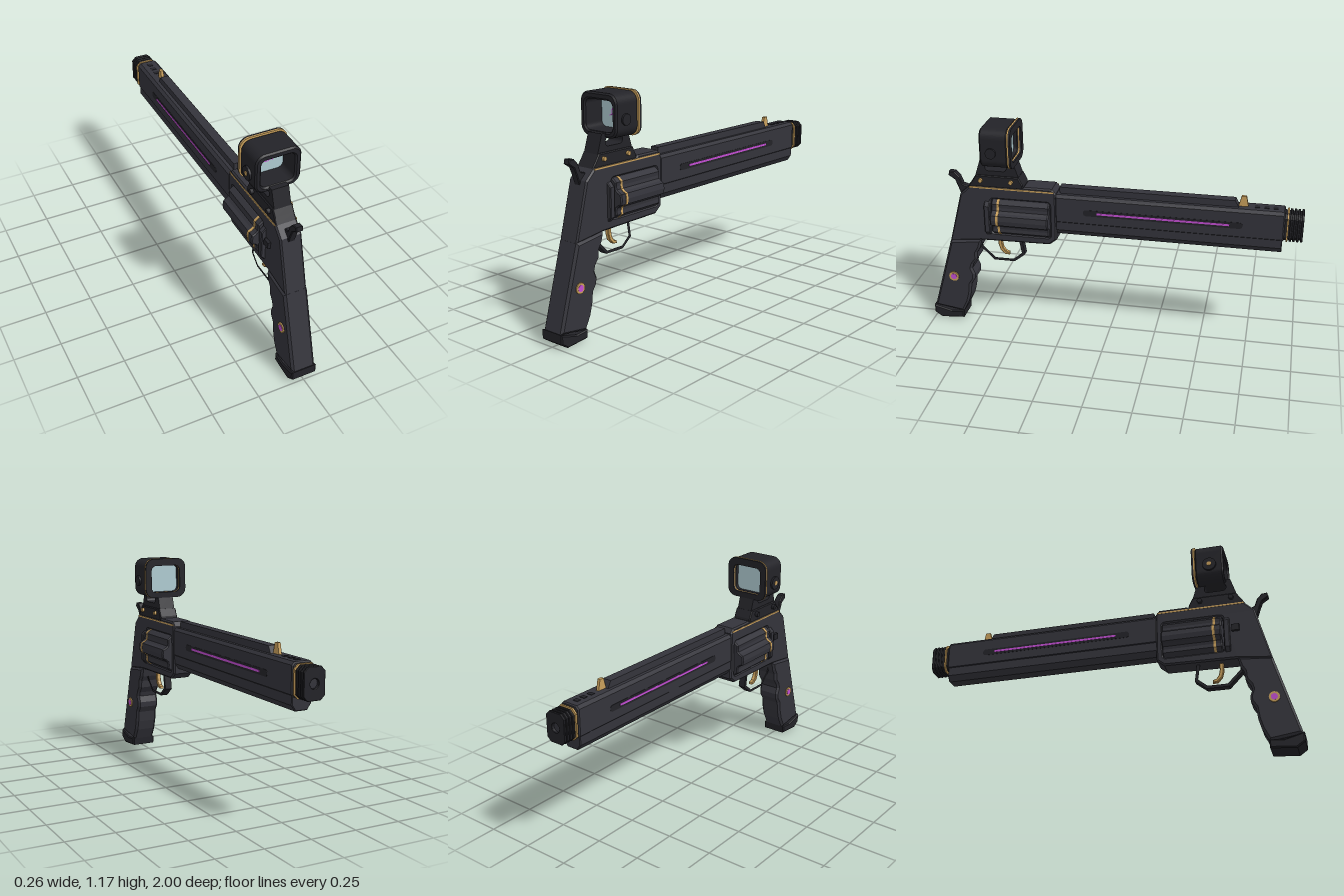
import * as THREE from 'three';

const mat = (name, color) => {
  const m = new THREE.MeshStandardMaterial({ color });
  m.name = name;
  return m;
};

export function createModel() {
  const body = mat('gunmetal', 0x34343b);
  const dark = mat('black metal', 0x232328);
  const gold = mat('gold', 0xc9a05c);
  const purple = mat('purple glow', 0xc44fd4);
  const glass = mat('glass', 0xafcbd1);

  const model = new THREE.Group();
  model.name = 'revolver';
  const add = (name, geo, material, x = 0, y = 0, z = 0) => {
    const m = new THREE.Mesh(geo, material);
    m.name = name;
    m.position.set(x, y, z);
    model.add(m);
    return m;
  };
  const poly = (pts) => new THREE.Shape(pts.map(([a, b]) => new THREE.Vector2(a, b)));

  // Rectangle with cut corners
  const chamRect = (w, h, c, cy = 0, cx = 0) => {
    const a = w / 2, b = h / 2;
    return poly([[a, -b + c], [a, b - c], [a - c, b], [-a + c, b], [-a, b - c], [-a, -b + c], [-a + c, -b], [a - c, -b]]
      .map(([x, y]) => [x + cx, y + cy]));
  };
  // Rectangle with round corners
  const roundRect = (w, h, r, cy = 0, cx = 0) => {
    const s = new THREE.Shape(), a = w / 2 - r, b = h / 2 - r;
    [[a, b], [-a, b], [-a, -b], [a, -b]].forEach(([x, y], i) =>
      s.absarc(cx + x, cy + y, r, i * Math.PI / 2, (i + 1) * Math.PI / 2, false));
    return s;
  };
  const extrude = (shape, depth, bevel) => {
    const g = new THREE.ExtrudeGeometry(shape, {
      depth: depth - 2 * bevel, bevelEnabled: bevel > 0, bevelThickness: bevel, bevelSize: bevel,
      bevelOffset: -bevel, bevelSegments: 1, curveSegments: 6,
    });
    return g.translate(0, 0, bevel);
  };
  // Shape drawn in (x, y), running from z0 to z1
  const alongZ = (shape, z0, z1, bevel = 0) => extrude(shape, z1 - z0, bevel).translate(0, 0, z0);
  // Shape drawn in (z, y), centred across x
  const acrossX = (shape, width, bevel = 0) =>
    extrude(shape, width, bevel).translate(0, 0, -width / 2).rotateY(-Math.PI / 2);
  const box = (w, h, d) => new THREE.BoxGeometry(w, h, d);
  const pin = (r, len, seg = 16) => new THREE.CylinderGeometry(r, r, len, seg).rotateZ(Math.PI / 2);

  // Frame with an open window for the drum
  const frame = poly([[0.28, 0.815], [0.28, 0.55], [0.32, 0.517], [0.7, 0.51], [0.877, 0.49], [0.803, 0.775],
    [0.745, 0.83], [0.46, 0.83], [0.45, 0.84], [0.3, 0.84]]);
  frame.holes.push(roundRect(0.32, 0.2, 0.015, 0.66, 0.475));
  add('frame', acrossX(frame, 0.116, 0.008), body);

  // Fluted six-lobed drum and its gold band
  const drum = (r) => {
    const pts = [];
    for (let i = 0; i < 6; i++)
      for (const [deg, k] of [[-14, 1], [0, 1.01], [14, 1], [21, 0.87], [30, 0.81], [39, 0.87]]) {
        const a = (i * 60 + deg) * Math.PI / 180;
        pts.push([Math.cos(a) * r * k, 0.658 + Math.sin(a) * r * k]);
      }
    return poly(pts);
  };
  add('drum', alongZ(drum(0.112), 0.315, 0.63, 0.006), body);
  add('drumBand', alongZ(drum(0.115), 0.585, 0.598), gold);
  add('recoilShield', alongZ(chamRect(0.16, 0.22, 0.035, 0.648), 0.64, 0.67, 0.004), body);
  add('latch', box(0.02, 0.035, 0.04), dark, -0.064, 0.68, 0.7);

  // Barrel, under lug and side stripes
  add('barrel', alongZ(chamRect(0.114, 0.165, 0.015, 0.7275), -0.905, 0.285, 0.006), body);
  add('underLug', alongZ(poly([[0.053, 0.66], [-0.053, 0.66], [-0.053, 0.61], [-0.032, 0.58], [0.032, 0.58], [0.053, 0.61]]),
    -0.9, 0.285, 0.004), body);
  for (const s of [-1, 1]) {
    add('barrelGroove', acrossX(roundRect(0.83, 0.034, 0.016, 0.722, -0.28), 0.003), dark, s * 0.0572);
    add('barrelStripe', box(0.004, 0.011, 0.69), purple, s * 0.0585, 0.722, -0.283);
    add('frameTrim', box(0.004, 0.008, 0.46), gold, s * 0.0575, 0.822, 0.52);
  }

  // Slotted top rail, vents and front sight
  const rail = poly([[0.265, 0.8], [0.265, 0.845], [-0.65, 0.845], [-0.675, 0.8]]);
  for (let i = 0; i < 7; i++) rail.holes.push(roundRect(0.08, 0.022, 0.01, 0.826, 0.126 - i * 0.117));
  add('topRail', acrossX(rail, 0.048), body);
  for (const z of [-0.762, -0.81, -0.855]) add('topVent', box(0.028, 0.004, 0.024), dark, 0, 0.8105, z);
  add('frontSight', acrossX(poly([[-0.665, 0.805], [-0.68, 0.865], [-0.705, 0.865], [-0.718, 0.805]]), 0.016), gold);

  // Ribbed muzzle with a blind bore
  const brake = (w, h) => {
    const s = chamRect(w, h, 0.022, 0.723);
    s.holes.push(new THREE.Path().absarc(0, 0.723, 0.024, 0, Math.PI * 2, false));
    return s;
  };
  add('muzzleTrim', alongZ(chamRect(0.118, 0.162, 0.022, 0.723), -0.925, -0.916), gold);
  add('muzzleNeck', alongZ(chamRect(0.1, 0.145, 0.02, 0.723), -0.92, -0.9), dark);
  add('muzzle', alongZ(brake(0.1, 0.142), -0.998, -0.92), dark);
  for (let i = 0; i < 4; i++)
    add('muzzleRib', alongZ(brake(0.114, 0.156), -1 + i * 0.019, -0.988 + i * 0.019, 0.002), dark);
  add('bore', new THREE.CylinderGeometry(0.025, 0.025, 0.02, 20).rotateX(Math.PI / 2), body, 0, 0.723, -0.975);

  // Grip with finger grooves, butt plate and medallions
  add('grip', acrossX(poly([[0.877, 0.492], [0.995, 0.075], [0.83, 0.05], [0.797, 0.115], [0.782, 0.17], [0.775, 0.23],
    [0.752, 0.265], [0.75, 0.295], [0.764, 0.33], [0.757, 0.355], [0.732, 0.39], [0.73, 0.43], [0.712, 0.46], [0.7, 0.512]]),
  0.128, 0.012), body);
  add('buttPlate', acrossX(poly([[1, 0.078], [1, 0.03], [0.96, 0.002], [0.83, 0.012], [0.828, 0.056], [0.9, 0.05], [0.975, 0.07]]),
    0.138, 0.006), dark);
  for (const s of [-1, 1]) {
    add('medallion', pin(0.028, 0.008, 12), gold, s * 0.066, 0.274, 0.87);
    add('medallionGem', pin(0.017, 0.004), purple, s * 0.0695, 0.274, 0.87);
  }

  // Hammer, trigger and trigger guard
  add('hammer', acrossX(poly([[0.87, 0.885], [0.84, 0.882], [0.815, 0.855], [0.8, 0.815], [0.75, 0.8], [0.75, 0.74], [0.808, 0.75],
    [0.825, 0.8], [0.84, 0.838], [0.875, 0.862]]), 0.038, 0.004), dark);
  add('trigger', acrossX(poly([[0.62, 0.53], [0.62, 0.47], [0.61, 0.435], [0.585, 0.412], [0.56, 0.41], [0.562, 0.424],
    [0.58, 0.43], [0.594, 0.45], [0.6, 0.48], [0.598, 0.53]]), 0.024, 0.003), gold);
  const guard = poly([[0.728, 0.53], [0.722, 0.455], [0.645, 0.377], [0.53, 0.377], [0.47, 0.425], [0.486, 0.53]]);
  guard.holes.push(poly([[0.712, 0.52], [0.706, 0.46], [0.638, 0.392], [0.535, 0.392], [0.487, 0.432], [0.502, 0.52]]));
  add('triggerGuard', acrossX(guard, 0.04), dark);

  // Optic base, riser with a slot, and clamp screws
  add('opticBase', acrossX(poly([[0.755, 0.825], [0.735, 0.855], [0.712, 0.89], [0.48, 0.89], [0.46, 0.85], [0.455, 0.825]]),
    0.106, 0.005), dark);
  const riser = poly([[0.715, 0.885], [0.685, 0.98], [0.51, 0.98], [0.48, 0.885]]);
  riser.holes.push(roundRect(0.115, 0.042, 0.018, 0.937, 0.603));
  add('opticRiser', acrossX(riser, 0.09), dark);
  for (const z of [0.52, 0.685]) {
    add('clampScrew', pin(0.011, 0.02), gold, 0.056, 0.863, z);
    add('clampNut', pin(0.014, 0.024, 6), dark, -0.058, 0.863, z);
  }

  // Optic housing with gold rim, glass and side knobs
  const ring = (w, h) => {
    const s = roundRect(w, h, 0.05, 1.062);
    s.holes.push(roundRect(0.176, 0.15, 0.028, 1.058));
    return s;
  };
  add('opticHousing', alongZ(ring(0.238, 0.212), 0.512, 0.662, 0.008), dark);
  add('opticRim', alongZ(ring(0.248, 0.222), 0.505, 0.513), gold);
  add('opticBezel', alongZ(ring(0.246, 0.22), 0.495, 0.506), dark);
  add('opticGlass', alongZ(roundRect(0.178, 0.152, 0.028, 1.058), 0.54, 0.547), glass);
  add('opticKnob', pin(0.028, 0.012, 20), dark, 0.123, 1.045, 0.6);
  add('opticDial', pin(0.036, 0.014, 20), dark, -0.123, 1.04, 0.59);
  add('opticDialCap', pin(0.012, 0.004), gold, -0.131, 1.04, 0.59);

  // Reticle on the glass
  add('reticleRing', new THREE.RingGeometry(0.018, 0.023, 24), purple, 0, 1.06, 0.5485);
  add('reticleDot', new THREE.CircleGeometry(0.004, 10), purple, 0, 1.06, 0.5485);
  for (const deg of [90, 210, 330]) {
    const a = deg * Math.PI / 180;
    add('reticleTick', box(0.016, 0.004, 0.002), purple, Math.cos(a) * 0.031, 1.06 + Math.sin(a) * 0.031, 0.5478).rotation.z = a;
  }
  return model;
}
